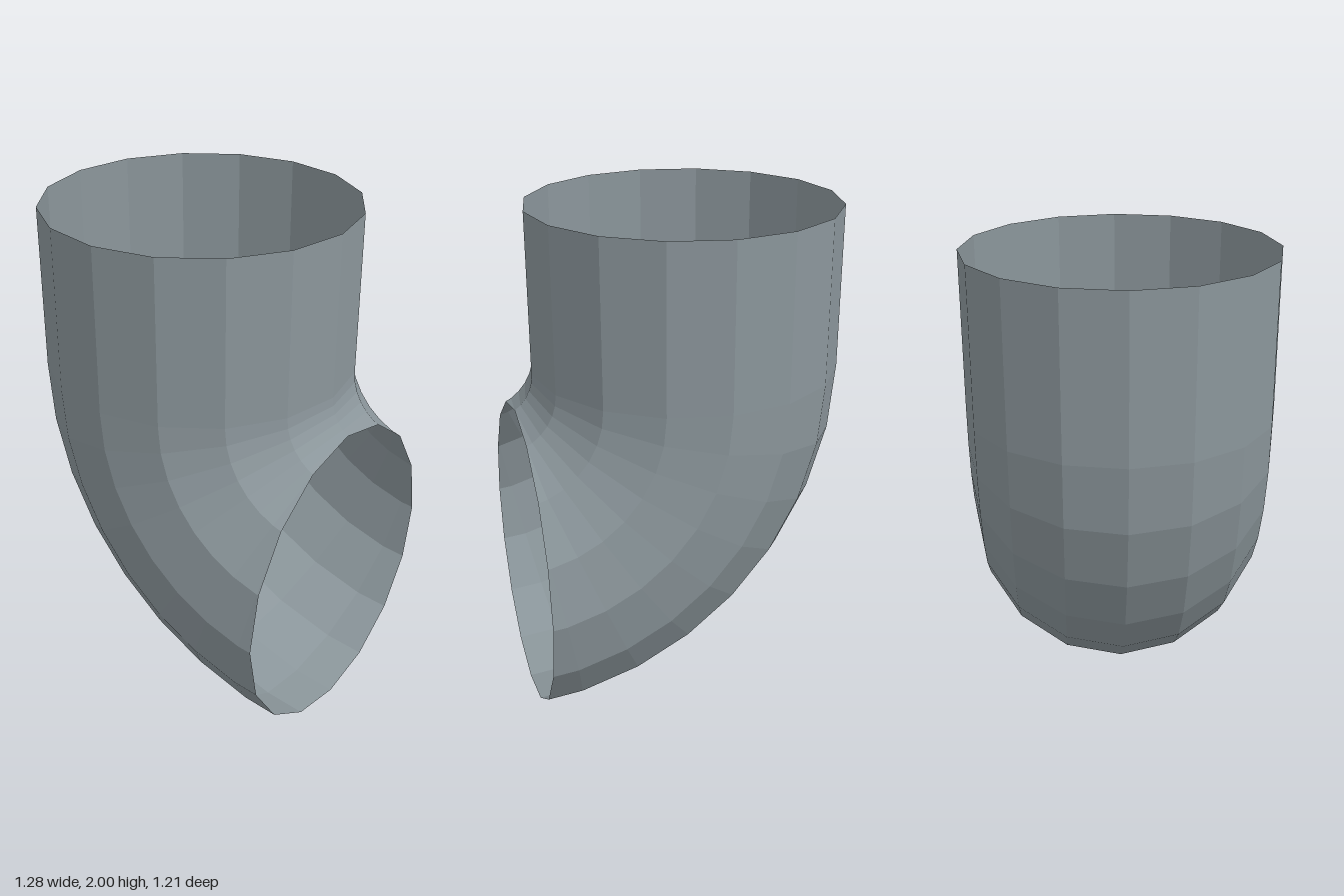
import * as THREE from 'three';

const SIDES = 16, STEPS = 8;
const PIPE_R = 0.604, BEND_R = 0.773;   // pipe radius, bend centre-line radius
const CX = 0.737, CY = 1.37;            // bend centre
const TOP = 2, CUT_X = 0.64;            // open ends: top rim and vertical mouth

// One lengthwise edge of the pipe: straight drop, quarter bend, trimmed at the mouth
function edgeLine(a) {
  const rho = BEND_R - PIPE_R * Math.cos(a), z = PIPE_R * Math.sin(a);
  const line = [new THREE.Vector3(CX - rho, TOP, z)];
  for (let i = 0; i <= STEPS; i++) {
    const t = (i / STEPS) * Math.PI / 2;
    const p = new THREE.Vector3(CX - rho * Math.cos(t), CY - rho * Math.sin(t), z);
    const prev = line[line.length - 1];
    if (prev.x >= CUT_X) p.copy(prev);
    else if (p.x > CUT_X) {
      p.lerpVectors(prev, p, (CUT_X - prev.x) / (p.x - prev.x));
      p.x = CUT_X;
    }
    line.push(p);
  }
  return line;
}

function elbowGeometry() {
  const lines = [];
  for (let j = 0; j < SIDES; j++) lines.push(edgeLine((j / SIDES) * Math.PI * 2));

  const pos = [];
  const tri = (a, b, c) => {
    // Skip triangles that collapsed at the mouth
    const area = b.clone().sub(a).cross(c.clone().sub(a)).length();
    const inMouth = [a, b, c].every((p) => p.x >= CUT_X);
    if (area > 1e-8 && !inMouth) for (const p of [a, b, c]) pos.push(p.x, p.y, p.z);
  };
  for (let j = 0; j < SIDES; j++) {
    const A = lines[j], B = lines[(j + 1) % SIDES];
    for (let i = 0; i < A.length - 1; i++) {
      tri(A[i], B[i], A[i + 1]);
      tri(B[i], B[i + 1], A[i + 1]);
    }
  }
  const g = new THREE.BufferGeometry();
  g.setAttribute('position', new THREE.Float32BufferAttribute(pos, 3));
  g.computeVertexNormals();
  return g;
}

export function createModel() {
  const group = new THREE.Group();
  group.name = 'pipeElbow';
  // Blue-grey metal
  const material = new THREE.MeshStandardMaterial({
    color: 0x8b969b, flatShading: true, side: THREE.DoubleSide,
  });
  const pipe = new THREE.Mesh(elbowGeometry(), material);
  pipe.name = 'elbowPipe';
  group.add(pipe);
  return group;
}
